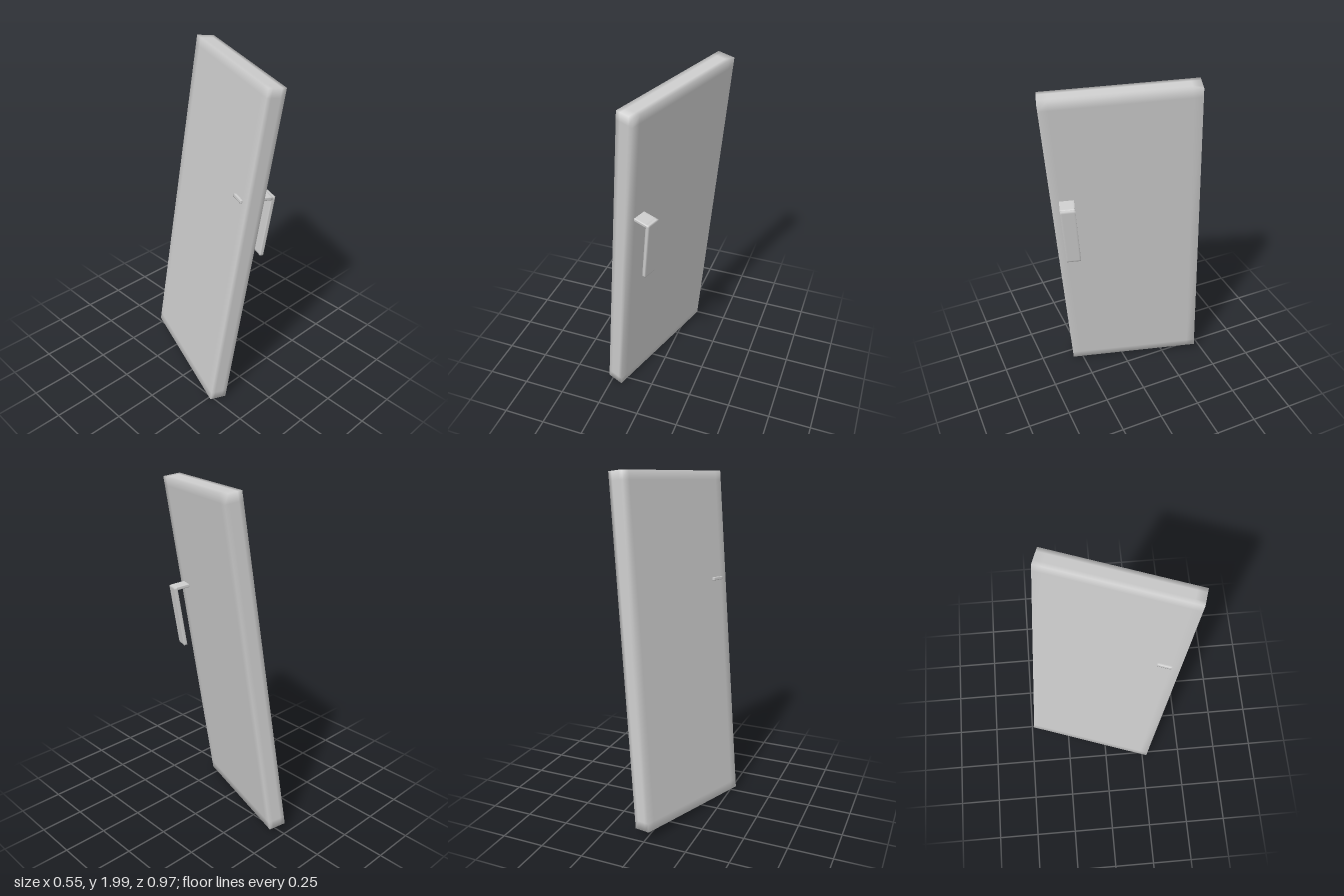
import * as THREE from 'three';
import { mergeVertices } from 'three/addons/utils/BufferGeometryUtils.js';

const material = new THREE.MeshStandardMaterial({ color: 0xcccccc });

// Box with support loops set in from each edge and shared corner normals,
// so the shading rolls over the edges while the outline stays square.
function softBox(name, size, inset, centre) {
  const [w, h, d] = size;
  let geo = new THREE.BoxGeometry(w, h, d, 4, 4, 4);
  const pos = geo.attributes.position;
  const slide = (v, length) => {
    const step = Math.round((v / length) * 4); // -2..2
    const edge = length / 2;
    const loop = edge - Math.min(inset, length / 4);
    return Math.sign(step) * [0, loop, edge][Math.abs(step)];
  };
  for (let i = 0; i < pos.count; i++) {
    pos.setXYZ(i, slide(pos.getX(i), w), slide(pos.getY(i), h), slide(pos.getZ(i), d));
  }
  geo.deleteAttribute('normal');
  geo.deleteAttribute('uv');
  geo = mergeVertices(geo, 1e-5);
  geo.computeVertexNormals();
  const mesh = new THREE.Mesh(geo, material);
  mesh.name = name;
  mesh.position.set(...centre);
  return mesh;
}

export function createModel() {
  const model = new THREE.Group();
  model.name = 'door';

  // Everything is built upright (x = thickness, y = height, z = width), then leaned
  const leaning = new THREE.Group();
  leaning.name = 'leaningDoor';

  leaning.add(softBox('doorPanel', [0.1, 1.957, 0.803], 0.05, [0, 0, 0]));

  // Handle: a flat grip held off the face by a plate that passes through the panel
  const handle = new THREE.Group();
  handle.name = 'handle';
  handle.add(softBox('handleGrip', [0.02, 0.365, 0.08], 0.01, [0.134, 0.181, 0.315]));
  handle.add(softBox('handlePlate', [0.19, 0.018, 0.08], 0.01, [0.033, 0.355, 0.317]));
  leaning.add(handle);

  // Lean of the door, from its height and width directions
  const up = new THREE.Vector3(0.205, 1.945, 0.175).normalize();
  const across = new THREE.Vector3(-0.255, -0.05, 0.76);
  const out = new THREE.Vector3().crossVectors(up, across).normalize();
  across.crossVectors(out, up).normalize();
  leaning.quaternion.setFromRotationMatrix(new THREE.Matrix4().makeBasis(out, up, across));
  leaning.position.y = 1;

  model.add(leaning);
  return model;
}
